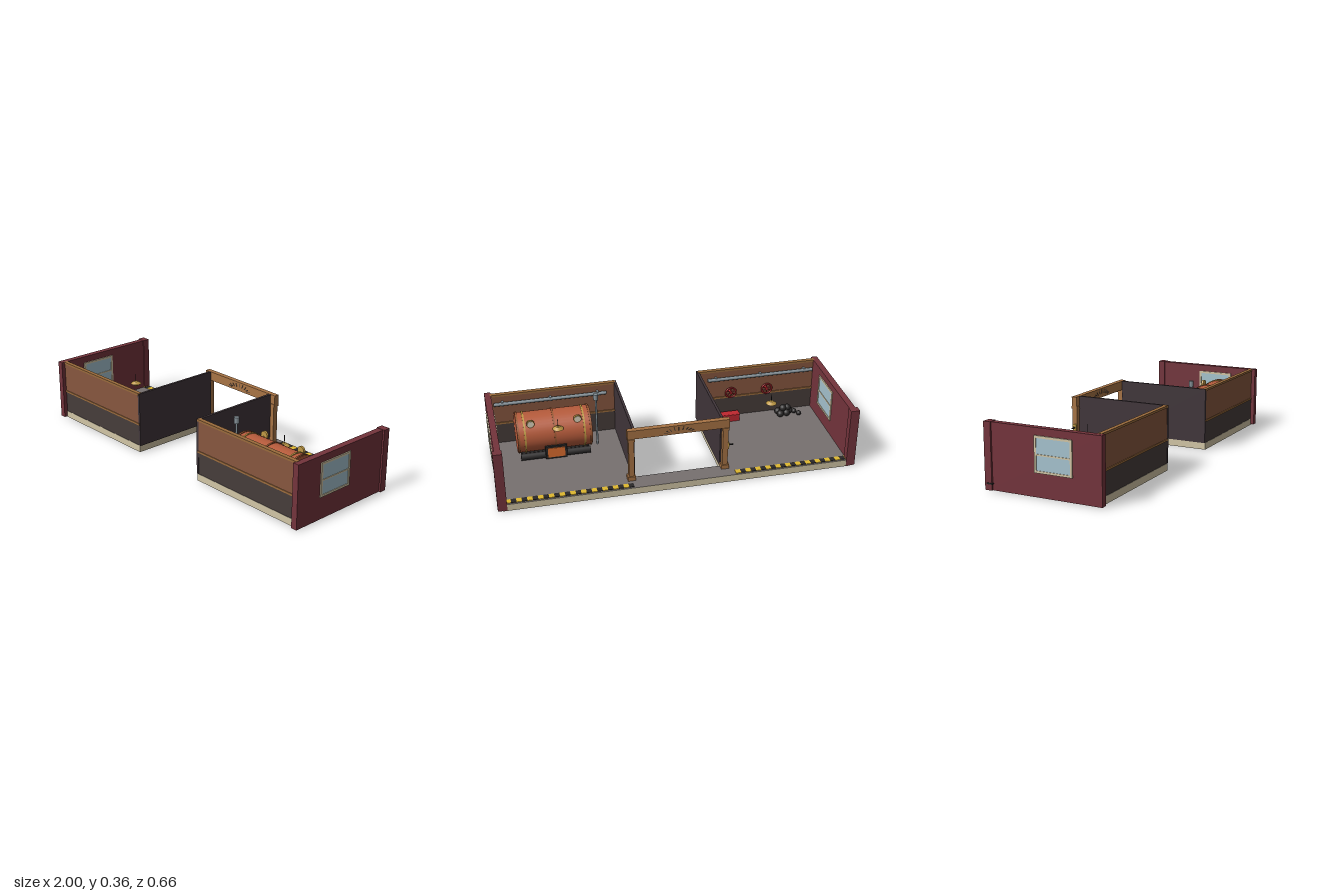
import * as THREE from 'three';

const mat = (color) => new THREE.MeshStandardMaterial({ color });
const M = {
  red: mat(0x74343c), cream: mat(0xd2c6a6), floor: mat(0x777170), brown: mat(0x87573f),
  dark: mat(0x463c3a), wall: mat(0x40353a), wood: mat(0xa87445), trim: mat(0x9a6b3c),
  glass: mat(0xa6c4d0), yellow: mat(0xe0b830), black: mat(0x2a2828), copper: mat(0xb85c3c),
  band: mat(0x9c5a34), gold: mat(0xc09a45), steel: mat(0x87939a), scarlet: mat(0xc02830),
  fire: mat(0xe07030), dial: mat(0xe0d8c4),
};

export function createModel() {
  const root = new THREE.Group();
  const add = (name, geo, material, x, y, z, parent = root) => {
    const m = new THREE.Mesh(geo, material);
    m.name = name;
    m.position.set(x, y, z);
    parent.add(m);
    return m;
  };
  // box given by its min and max on each axis
  const box = (name, material, x0, x1, y0, y1, z0, z1, parent = root) =>
    add(name, new THREE.BoxGeometry(Math.abs(x1 - x0), y1 - y0, z1 - z0), material,
      (x0 + x1) / 2, (y0 + y1) / 2, (z0 + z1) / 2, parent);
  const cyl = (r, h, n = 24, r2 = r) => new THREE.CylinderGeometry(r, r2, h, n);
  const group = (name) => {
    const g = new THREE.Group();
    g.name = name;
    root.add(g);
    return g;
  };

  // U-shaped floor slab with cream edges
  const plan = new THREE.Shape([[-0.97, 0.33], [-0.97, -0.31], [-0.245, -0.31], [-0.245, 0.225],
    [0.245, 0.225], [0.245, -0.31], [0.97, -0.31], [0.97, 0.33]].map((p) => new THREE.Vector2(...p)));
  const slab = new THREE.ExtrudeGeometry(plan, { depth: 0.04, bevelEnabled: false });
  slab.rotateX(-Math.PI / 2);
  add('floor', slab, [M.floor, M.cream], 0, 0, 0);

  for (const s of [-1, 1]) {
    // end wall with its thicker corner post
    box('endWall', M.red, s * 0.95, s * 0.985, 0.004, 0.353, -0.32, 0.33);
    box('cornerPost', M.red, s * 0.945, s * 0.995, 0.004, 0.355, -0.332, -0.292);

    // window, showing on both faces of the wall
    const win = group('window');
    const a = s * 0.944, b = s * 0.991;
    box('windowGlass', M.glass, s * 0.947, s * 0.988, 0.135, 0.31, -0.035, 0.16, win);
    for (const y of [0.128, 0.215, 0.303]) box('windowRail', M.cream, a, b, y, y + (y === 0.215 ? 0.008 : 0.012), -0.043, 0.17, win);
    for (const z of [-0.043, 0.158]) box('windowStile', M.cream, a, b, 0.128, 0.315, z, z + 0.012, win);

    // front wall: dark lower half, brown upper half, wooden trims
    box('lowerFrontWall', M.dark, s * 0.245, s * 0.955, 0.04, 0.17, 0.292, 0.308);
    box('upperFrontWall', M.brown, s * 0.245, s * 0.955, 0.17, 0.345, 0.292, 0.308);
    box('middleTrim', M.trim, s * 0.245, s * 0.955, 0.163, 0.174, 0.287, 0.312);
    box('topTrim', M.trim, s * 0.245, s * 0.955, 0.342, 0.354, 0.288, 0.312);

    // wall along the passage
    box('passageWall', M.wall, s * 0.238, s * 0.252, 0.04, 0.353, -0.225, 0.31);

    // pipe along the inside of the front wall
    const pipe = add('wallPipe', cyl(0.01, 0.64, 12), M.steel, s * 0.62, 0.3, 0.275);
    pipe.rotation.z = Math.PI / 2;
    for (const x of [0.35, 0.62, 0.89]) box('pipeBracket', M.steel, s * (x - 0.006), s * (x + 0.006), 0.288, 0.312, 0.27, 0.293);

    // hanging lamp
    const lamp = group('lamp');
    lamp.position.set(s * 0.613, 0.25, 0.038);
    add('lampShade', cyl(0.012, 0.014, 20, 0.031), M.gold, 0, 0, 0, lamp);
    add('lampBulb', new THREE.SphereGeometry(0.014, 16, 10), M.gold, 0, -0.01, 0, lamp);
    add('lampRod', cyl(0.002, 0.045, 6), M.black, 0, 0.028, 0, lamp);

    // gate post with foot and cap
    box('gatePost', M.wood, s * 0.246, s * 0.276, 0.04, 0.3, -0.255, -0.226);
    box('gatePostFoot', M.wood, s * 0.24, s * 0.284, 0.04, 0.065, -0.262, -0.222);
    box('gatePostCap', M.wood, s * 0.242, s * 0.28, 0.285, 0.3, -0.259, -0.223);
  }

  // gate beam with a carved fan on both faces
  box('gateBeam', M.wood, -0.282, 0.282, 0.3, 0.352, -0.255, -0.226);
  const fan = group('beamCarving');
  for (const z of [-0.2555, -0.2255])
    for (let i = -4; i <= 4; i++) {
      const t = i * 0.33;
      const ray = add('carvedRay', new THREE.BoxGeometry(0.004, 0.022, 0.002), M.dark,
        Math.sin(t) * 0.075, 0.308 + Math.cos(t) * 0.025, z, fan);
      ray.rotation.z = -t * 1.05;
    }
  // small plate with a knob beside the gate
  box('switchPlate', M.gold, -0.284, -0.276, 0.16, 0.2, -0.25, -0.228);
  box('switchLever', M.black, -0.31, -0.284, 0.178, 0.184, -0.241, -0.235);

  // hazard stripes on the floor
  for (const start of [-1, 0.26])
    for (let i = 0; i < 24; i++) {
      const x = start + i * 0.0288;
      box('hazardStripe', i % 2 ? M.yellow : M.black, x, x + 0.0288, 0.036, 0.043, -0.32, -0.287);
    }

  // boiler lying on a dark cradle
  const boiler = group('boiler');
  boiler.position.set(0.63, 0.18, 0.15);
  const along = (name, r, len, x, material) => {
    const m = add(name, cyl(r, len, 40), material, x, 0, 0, boiler);
    m.rotation.z = Math.PI / 2;
  };
  along('boilerBody', 0.113, 0.416, 0, M.copper);
  for (const x of [-0.2, -0.165, 0, 0.165, 0.2])
    along('boilerBand', 0.117, 0.01, x, Math.abs(x) === 0.165 ? M.gold : M.band);
  box('boilerCradle', M.black, -0.19, 0.19, -0.14, -0.095, -0.075, 0.075, boiler);
  for (const z of [-0.08, 0.08]) {
    const rail = add('cradleRail', cyl(0.02, 0.39, 12), M.black, 0, -0.115, z, boiler);
    rail.rotation.z = Math.PI / 2;
  }
  box('fireboxFrame', M.black, -0.06, 0.06, -0.125, -0.045, -0.115, -0.06, boiler);
  box('fireboxDoor', M.fire, -0.048, 0.048, -0.114, -0.056, -0.119, -0.11, boiler);
  for (const x of [-0.13, 0.13]) {
    const body = add('gaugeBody', cyl(0.022, 0.012), M.gold, x, 0.095, -0.082, boiler);
    const face = add('gaugeFace', cyl(0.018, 0.004), M.dial, x, 0.095, -0.089, boiler);
    body.rotation.x = face.rotation.x = Math.PI / 2;
    add('gaugeStem', cyl(0.005, 0.03, 8), M.gold, x, 0.075, -0.078, boiler);
  }

  // steel valve stack beside the boiler
  add('valveStem', cyl(0.006, 0.29, 10), M.steel, 0.38, 0.185, 0.157);
  add('valveCap', cyl(0.014, 0.035, 16), M.steel, 0.38, 0.347, 0.157);

  // red valve wheels on the front wall
  for (const x of [-0.44, -0.66]) {
    const wheel = group('valveWheel');
    wheel.position.set(x, 0.208, 0.268);
    add('wheelRim', new THREE.TorusGeometry(0.031, 0.005, 8, 28), M.scarlet, 0, 0, 0, wheel);
    for (let i = 0; i < 3; i++)
      add('wheelSpoke', cyl(0.003, 0.062, 6), M.scarlet, 0, 0, 0, wheel).rotation.z = (i * Math.PI) / 3;
    add('wheelAxle', cyl(0.008, 0.03, 12), M.scarlet, 0, 0, 0.01, wheel).rotation.x = Math.PI / 2;
  }

  // red tool box
  box('toolBox', M.scarlet, -0.483, -0.377, 0.04, 0.085, 0.218, 0.262);
  box('toolBoxLid', M.scarlet, -0.486, -0.374, 0.078, 0.084, 0.215, 0.265);

  // heap of coal
  const coal = [[-0.845, 0.195, 0], [-0.825, 0.225, 0], [-0.8, 0.24, 0], [-0.775, 0.215, 0], [-0.735, 0.21, 0],
    [-0.73, 0.245, 0], [-0.77, 0.25, 0], [-0.755, 0.228, 0.028], [-0.785, 0.235, 0.024]];
  coal.forEach(([x, z, y], i) =>
    add('coalLump', new THREE.SphereGeometry(i < 2 ? 0.015 : 0.021, 14, 10), M.black, x, 0.058 + y, z));

  return root;
}
